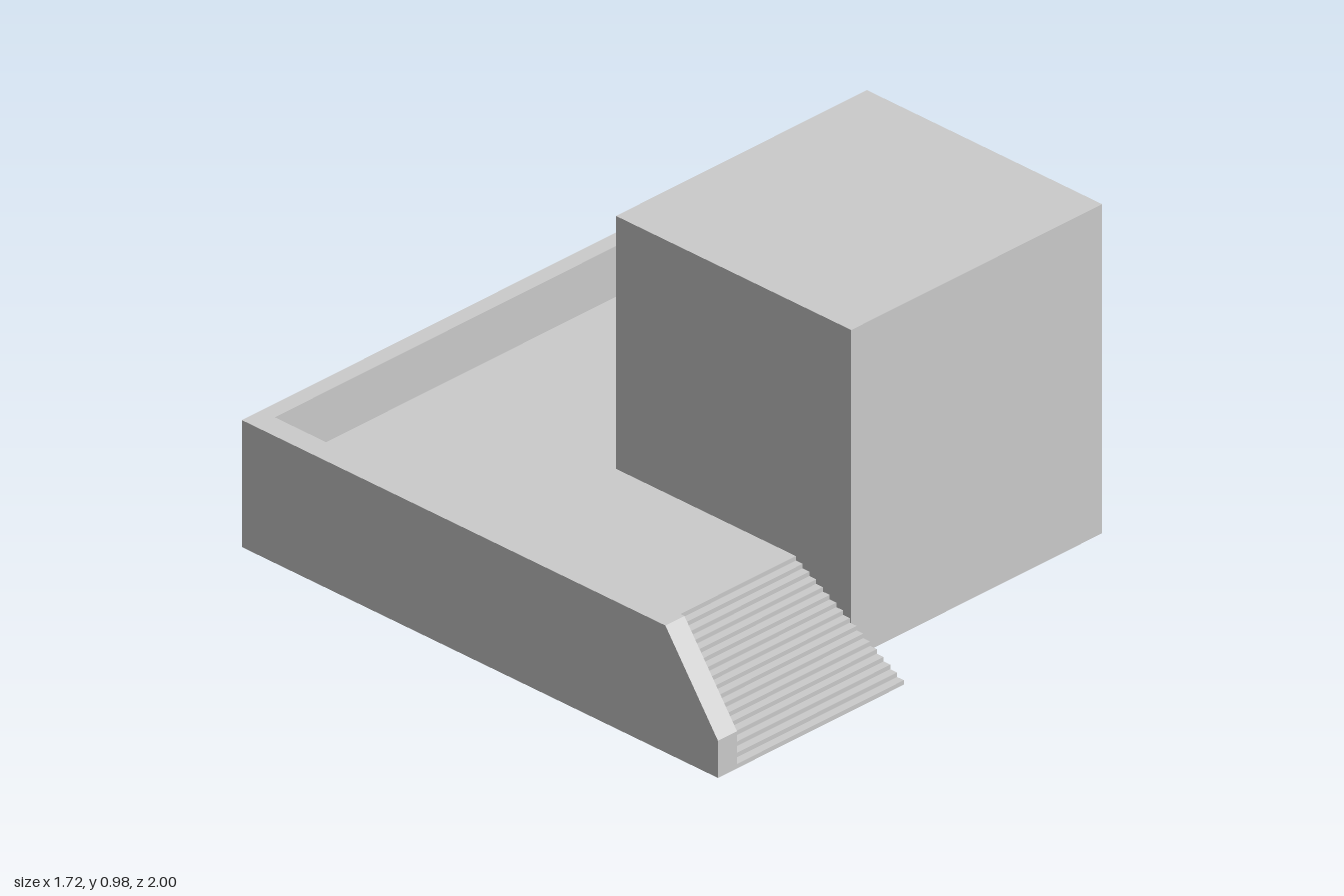
import * as THREE from 'three';

const material = new THREE.MeshStandardMaterial({ color: 0xcccccc, flatShading: true });

function addMesh(group, name, geometry) {
  const mesh = new THREE.Mesh(geometry, material);
  mesh.name = name;
  group.add(mesh);
  return mesh;
}

// Box given by its lower and upper corners
function addBox(group, name, [x0, y0, z0], [x1, y1, z1]) {
  const mesh = addMesh(group, name, new THREE.BoxGeometry(x1 - x0, y1 - y0, z1 - z0));
  mesh.position.set((x0 + x1) / 2, (y0 + y1) / 2, (z0 + z1) / 2);
}

// Side outline in (run, height), extruded along z from 0 to width
function profile(points, width) {
  const shape = new THREE.Shape(points.map(([a, b]) => new THREE.Vector2(a, b)));
  return new THREE.ExtrudeGeometry(shape, { depth: width, bevelEnabled: false });
}

// Solid flight of steps descending from the floor towards +x
function stairs(run, rise, count, width) {
  const points = [[0, 0], [0, rise]];
  const riser = rise / (count + 1);
  for (let i = 0; i < count; i++) {
    const y = rise - (i + 1) * riser;
    points.push([(run * i) / count, y], [(run * (i + 1)) / count, y]);
  }
  points.push([run, 0]);
  return profile(points, width);
}

// Wall whose far end slopes down beside the steps
function slopedWall(length, width) {
  const slope = 0.19;
  return profile([[0, 0], [length, 0], [length, 0.11], [length - slope, WALL], [0, WALL]], width);
}

const FLOOR = 0.226;
const WALL = 0.376;

export function createModel() {
  const model = new THREE.Group();
  model.name = 'houseWithTerrace';

  // House block
  addBox(model, 'house', [-0.18, 0, -0.605], [0.67, 0.975, 0.317]);

  // Terrace floor, L-shaped around the house
  addBox(model, 'frontTerrace', [-0.81, 0, 0.317], [0.47, FLOOR, 0.93]);
  addBox(model, 'sideTerrace', [-0.81, 0, -0.61], [-0.18, FLOOR, 0.317]);

  // Parapet walls
  const frontWall = addMesh(model, 'frontWall', slopedWall(1.72, 0.07));
  frontWall.position.set(-0.86, 0, 0.93);
  addBox(model, 'sideWall', [-0.86, 0, -0.61], [-0.81, WALL, 0.93]);
  const backEnd = addMesh(model, 'backWallEnd', slopedWall(0.39, 0.07));
  backEnd.rotation.y = Math.PI / 2; // run points to -z, width to +x
  backEnd.position.set(-0.86, 0, -0.61);
  addBox(model, 'backStairWall', [-0.18, 0, -1], [-0.11, 0.326, -0.605]);

  // Two matching flights of steps
  const sideStairs = addMesh(model, 'sideStairs', stairs(0.39, FLOOR, 16, 0.613));
  sideStairs.position.set(0.47, 0, 0.317);
  const backStairs = addMesh(model, 'backStairs', stairs(0.39, FLOOR, 16, 0.61));
  backStairs.rotation.y = Math.PI / 2;
  backStairs.position.set(-0.79, 0, -0.61);

  return model;
}
